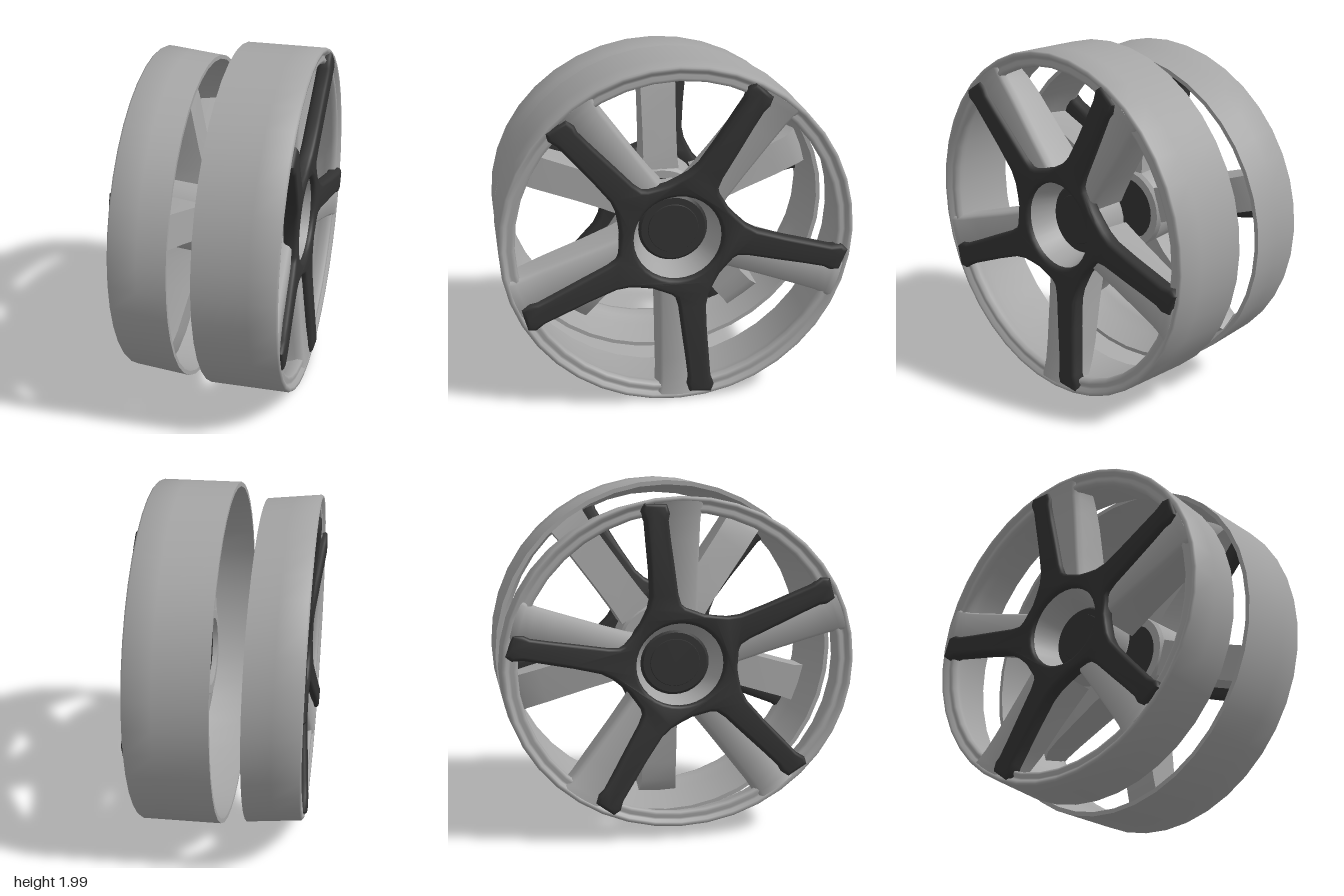
import * as THREE from 'three';
import { toCreasedNormals } from 'three/addons/utils/BufferGeometryUtils.js';

const alloy = new THREE.MeshStandardMaterial({ color: 0xa5a5a5 });
alloy.name = 'light alloy';
const dark = new THREE.MeshStandardMaterial({ color: 0x333333 });
dark.name = 'dark trim';

const STEP = (Math.PI * 2) / 5;
const rad = THREE.MathUtils.degToRad;

// Profile points are [axial x, radius]; the wheel axis is x, outer side +x.
function turned(profile, segments, crease) {
  const pts = profile.map(([x, r]) => new THREE.Vector2(r, x));
  const geo = new THREE.LatheGeometry(pts, segments).rotateZ(-Math.PI / 2);
  return toCreasedNormals(geo, crease);
}

// Barrel with a rolled outer lip, open at the back.
const rimGeometry = (back) => turned([
  [back, 0.975], [back, 1], [0.3, 1], [0.45, 1], [0.46, 0.992],
  [0.458, 0.975], [0.438, 0.962], [0.434, 0.95], [0.445, 0.932], [0.438, 0.915],
  [0.41, 0.908], [0.37, 0.925], [0.3, 0.95], [back, 0.975],
], 40, 1.1);

// Light spoke lofted outwards along y; stations are [radius, half width, front, back].
function spokeGeometry() {
  const stations = [
    [0.255, 0.115, 0.395, 0.14], [0.34, 0.108, 0.4, 0.15], [0.5, 0.107, 0.412, 0.18],
    [0.75, 0.11, 0.43, 0.22], [0.87, 0.112, 0.443, 0.25], [0.93, 0.12, 0.452, 0.28],
    [0.972, 0.13, 0.457, 0.32],
  ];
  const pos = [], index = [], n = 8;
  for (const [r, w, f, b] of stations) {
    const half = [[w * 0.95, b], [w, f - 0.05], [w * 0.93, f - 0.015], [w * 0.78, f]];
    const section = [...half, ...half.map(([z, x]) => [-z, x]).reverse()];
    for (const [z, x] of section) pos.push(x, r, z);
  }
  for (let s = 0; s < stations.length - 1; s++) {
    for (let i = 0; i < n; i++) {
      const a = s * n + i, b = s * n + (i + 1) % n;
      index.push(a, b, b + n, a, b + n, a + n);
    }
  }
  // End caps
  const last = (stations.length - 1) * n;
  for (let i = 1; i < n - 1; i++) {
    index.push(0, i + 1, i, last, last + i, last + i + 1);
  }
  const geo = new THREE.BufferGeometry();
  geo.setAttribute('position', new THREE.Float32BufferAttribute(pos, 3));
  geo.setIndex(index);
  return toCreasedNormals(geo, 0.8);
}

// Dark five-armed cover: arm outline as [along, across], repeated around the hub.
function starGeometry(base) {
  const arm = [
    [0.335, -0.085], [0.36, -0.064], [0.42, -0.056], [0.6, -0.06], [0.75, -0.062],
    [0.86, -0.066], [0.9, -0.08], [0.955, -0.072], [0.97, 0], [0.982, 0.055], [0.94, 0.078],
    [0.88, 0.066], [0.75, 0.075], [0.6, 0.085], [0.44, 0.102], [0.37, 0.128], [0.31, 0.168],
    [0.26, 0.205],
  ];
  const pts = [];
  for (let k = 0; k < 5; k++) {
    const t = base + k * STEP, c = Math.cos(t), s = Math.sin(t);
    for (const [a, p] of arm) pts.push(new THREE.Vector2(a * c - p * s, a * s + p * c));
  }
  const shape = new THREE.Shape(pts);
  shape.holes.push(new THREE.Path().absarc(0, 0, 0.25, 0, Math.PI * 2, true));
  const geo = new THREE.ExtrudeGeometry(shape, {
    depth: 0.035, bevelThickness: 0.025, bevelSize: 0.022, bevelOffset: -0.022,
    bevelSegments: 3, curveSegments: 16,
  });
  geo.translate(0, 0, -0.06).rotateY(Math.PI / 2);
  // Arms rise outwards from the hub
  const p = geo.attributes.position;
  for (let i = 0; i < p.count; i++) {
    const r = Math.hypot(p.getY(i), p.getZ(i));
    p.setX(i, p.getX(i) + 0.43 + 0.045 * THREE.MathUtils.clamp((r - 0.28) / 0.6, 0, 1));
  }
  return toCreasedNormals(geo, 0.8);
}

function wheel(name, back, starAngle, spokeAngle, matrix) {
  const group = new THREE.Group();
  group.name = name;
  const add = (partName, geo, material) => {
    const mesh = new THREE.Mesh(geo.applyMatrix4(matrix), material);
    mesh.name = partName;
    group.add(mesh);
  };

  add('rim', rimGeometry(back), alloy);
  // Hub sleeve with a conical mouth
  add('hub', turned([
    [0.13, 0.2], [0.13, 0.25], [0.15, 0.265], [0.36, 0.265], [0.4, 0.262],
    [0.4, 0.25], [0.25, 0.2], [0.13, 0.2],
  ], 32, 0.6), alloy);
  // Recessed centre cap with a raised disc
  add('centreCap', turned([
    [0.16, 0], [0.16, 0.2], [0.25, 0.2], [0.265, 0.185], [0.265, 0.146],
    [0.271, 0.143], [0.271, 0],
  ], 32, 0.6), dark);

  for (let k = 0; k < 5; k++) {
    const angle = spokeAngle + k * STEP;
    add('spoke', spokeGeometry().rotateX(angle - Math.PI / 2), alloy);
  }
  add('spokeCover', starGeometry(starAngle), dark);
  return group;
}

export function createModel() {
  const model = new THREE.Group();
  model.name = 'wheelPair';
  // Wide upright wheel
  const leftFrame = new THREE.Matrix4().set(
    1, 0, -0.008, 0.003,
    0, 0.995, 0, 0.995,
    0, 0, 0.995, 0,
    0, 0, 0, 1);
  // Narrow wheel, turned about and slightly canted
  const rightFrame = new THREE.Matrix4().set(
    -1, -0.01, -0.0075, -0.005,
    0.11, 0.93, 0, 0.95,
    0, 0, -0.99, 0,
    0, 0, 0, 1);
  model.add(
    wheel('leftWheel', 0, rad(62), rad(54), leftFrame),
    wheel('rightWheel', 0.14, rad(99.5), rad(90), rightFrame),
  );
  return model;
}
